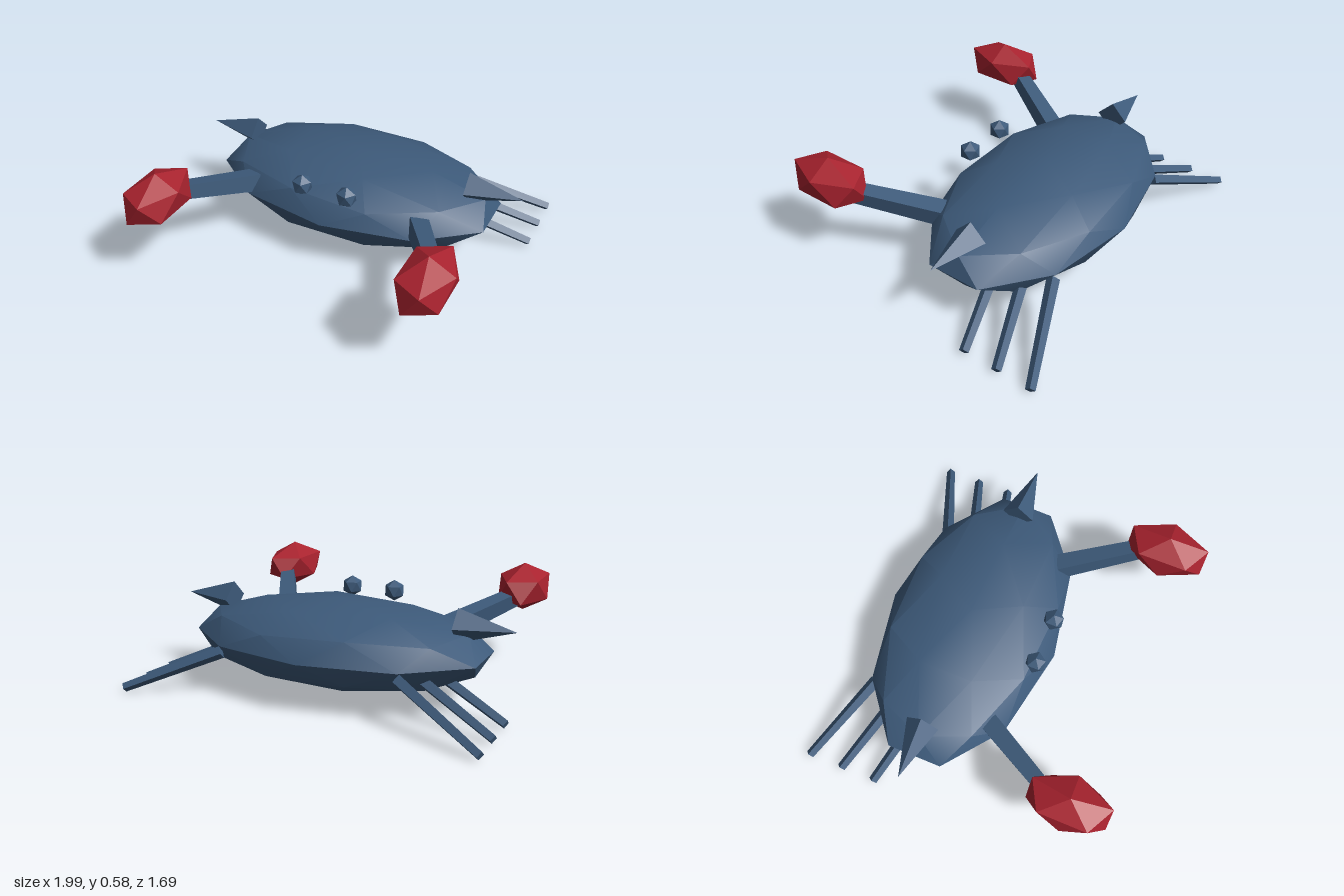
import * as THREE from 'three';
import { toCreasedNormals } from 'three/addons/utils/BufferGeometryUtils.js';

const shellBlue = new THREE.MeshStandardMaterial({ color: 0x3d5a7a });
const clawRed = new THREE.MeshStandardMaterial({ color: 0xa8222e });

// Icosahedral ball with a corner pointing up and an upper-ring corner towards +x
function ball(rx, ry, rz, detail) {
  const g = new THREE.IcosahedronGeometry(1, detail);
  g.rotateX(-Math.atan((1 + Math.sqrt(5)) / 2));
  g.rotateY(Math.PI / 2);
  g.scale(rx, ry, rz);
  return g;
}

// Faceted normals with sharp edges
function faceted(g) {
  const flat = g.toNonIndexed();
  flat.computeVertexNormals();
  return flat;
}

// Four-sided tapered beam between two points; one ridge follows the hint
function beam(from, to, r0, r1, hint) {
  const dir = to.clone().sub(from);
  const g = faceted(new THREE.CylinderGeometry(r1, r0, dir.length(), 4));
  dir.normalize();
  const x = hint.clone().addScaledVector(dir, -hint.dot(dir)).normalize();
  const z = new THREE.Vector3().crossVectors(x, dir);
  g.applyMatrix4(new THREE.Matrix4().makeBasis(x, dir, z));
  const mid = from.clone().add(to).multiplyScalar(0.5);
  return g.translate(mid.x, mid.y, mid.z);
}

export function createModel() {
  const model = new THREE.Group();
  model.name = 'crab';
  const add = (name, geometry, material) => {
    const mesh = new THREE.Mesh(geometry, material);
    mesh.name = name;
    model.add(mesh);
    return mesh;
  };

  // Flattened shell: smooth above and below, with a crisp rim
  const shell = toCreasedNormals(ball(0.851, 0.2275, 0.488, 1), Math.PI / 6);
  add('shell', shell, shellBlue).position.set(0, 0.2625, -0.235);

  // Rear legs as [root, tip]
  const legs = [
    [[0.5, 0.228, -0.615], [0.985, 0.023, -0.825]],
    [[0.5, 0.225, -0.455], [0.985, 0.023, -0.63]],
    [[0.5, 0.225, -0.295], [0.985, 0.023, -0.435]],
  ];

  for (const s of [1, -1]) {
    const side = s > 0 ? 'left' : 'right';
    const v = (x, y, z) => new THREE.Vector3(s * x, y, z);

    // Eyes
    add(side + 'Eye', ball(0.06, 0.06, 0.06, 0), shellBlue).position.set(s * 0.132, 0.45, 0.19);

    // Arms and claws
    add(side + 'Arm', beam(v(0.5, 0.307, 0.08), v(0.755, 0.415, 0.52), 0.071, 0.056,
      v(0.64, -0.77, -0.11)), shellBlue);
    add(side + 'Claw', ball(0.155, 0.137, 0.256, 0), clawRed).position.set(s * 0.762, 0.447, 0.622);

    // Shell spikes
    add(side + 'Spike', beam(v(0.66, 0.42, -0.235), v(0.965, 0.42, -0.235), 0.09, 0,
      v(0, 1, 0)), shellBlue);

    // Legs
    legs.forEach(([root, tip], i) =>
      add(side + 'Leg' + (i + 1), beam(v(...root), v(...tip), 0.034, 0.025, v(0, 1, 0)), shellBlue));
  }
  return model;
}
